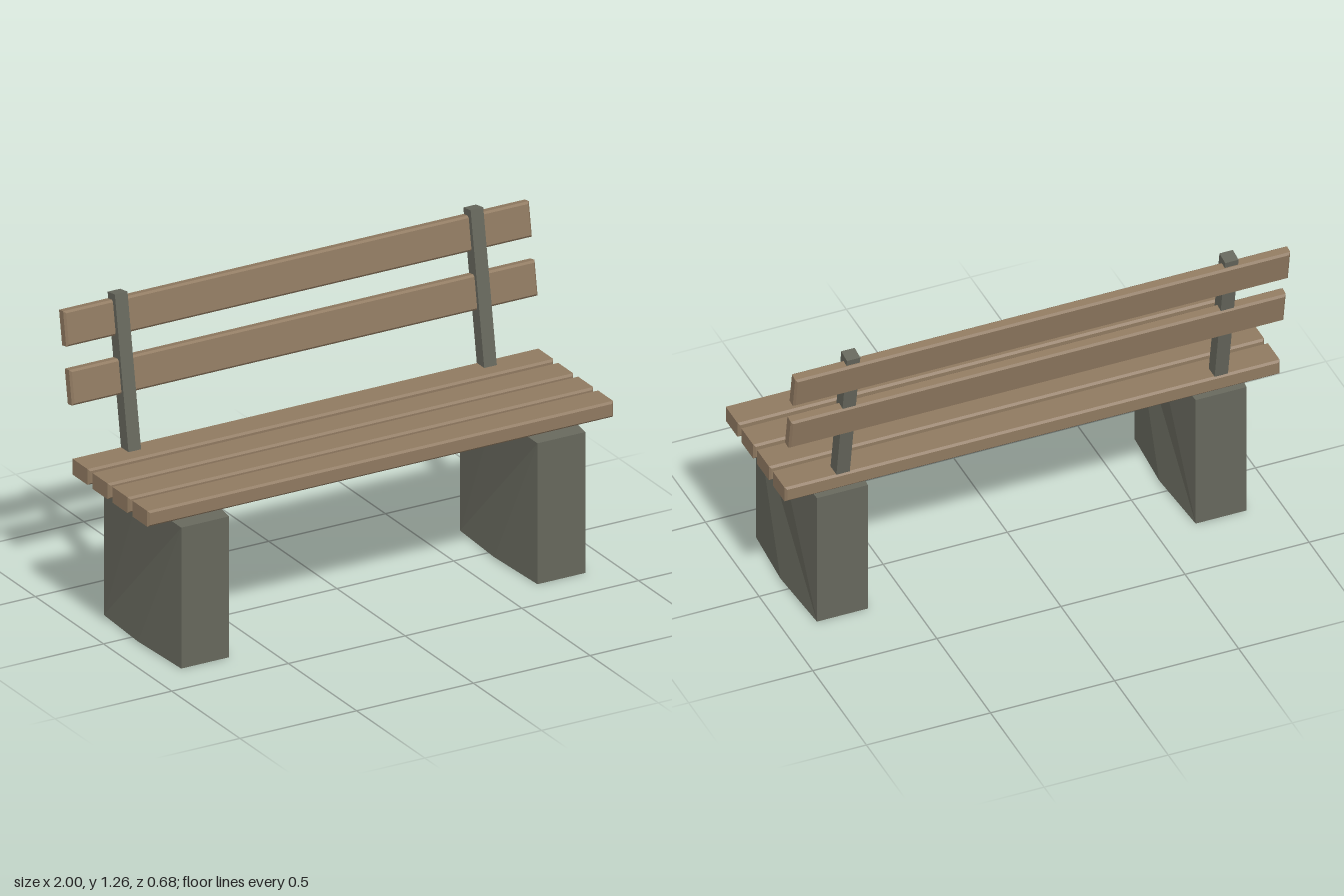
import * as THREE from 'three';

const wood = new THREE.MeshStandardMaterial({ color: 0x8f7960 });
wood.name = 'wood';
const concrete = new THREE.MeshStandardMaterial({ color: 0x66675c });
concrete.name = 'concrete';

// Board with chamfered edges, centred on its own origin
function chamferedBoard(w, h, d, c) {
  const x = w / 2 - c, y = h / 2 - c;
  const shape = new THREE.Shape([
    new THREE.Vector2(-x, -y), new THREE.Vector2(x, -y),
    new THREE.Vector2(x, y), new THREE.Vector2(-x, y),
  ]);
  const g = new THREE.ExtrudeGeometry(shape, {
    depth: d - 2 * c, bevelEnabled: true, bevelSize: c, bevelThickness: c, bevelSegments: 1,
  });
  g.translate(0, 0, c - d / 2);
  return g;
}

// Block leg: peaked side profile, narrowing towards front and back
function legGeometry() {
  const mid = 0.06;
  const profile = [[-0.228, 0], [mid, 0.008], [0.34, 0], [0.34, 0.57], [mid, 0.589], [-0.228, 0.57]];
  const g = new THREE.ExtrudeGeometry(
    new THREE.Shape(profile.map(([z, y]) => new THREE.Vector2(z, y))),
    { depth: 0.25, bevelEnabled: false });
  g.translate(0, 0, -0.125);
  g.rotateY(-Math.PI / 2);
  const p = g.attributes.position;
  for (let i = 0; i < p.count; i++) {
    if (Math.abs(p.getZ(i) - mid) > 0.1) p.setX(i, p.getX(i) * 0.82);
  }
  g.computeVertexNormals();
  return g;
}

export function createModel() {
  const bench = new THREE.Group();
  bench.name = 'bench';
  const add = (name, geometry, material, x, y, z, tilt = 0) => {
    const mesh = new THREE.Mesh(geometry, material);
    mesh.name = name;
    mesh.position.set(x, y, z);
    mesh.rotation.x = tilt;
    bench.add(mesh);
  };
  const lean = -0.165;

  // Seat slats
  const seatGeo = chamferedBoard(1.995, 0.064, 0.125, 0.008);
  [0.262, 0.116, -0.03, -0.176].forEach((z, i) =>
    add(`seatSlat${i + 1}`, seatGeo, wood, 0, i === 3 ? 0.628 : 0.626, z));

  // Back slats, let into the leaning posts
  const backGeo = chamferedBoard(1.995, 0.137, 0.046, 0.008);
  add('lowerBackSlat', backGeo, wood, 0, 0.938, -0.262, lean);
  add('upperBackSlat', backGeo, wood, 0, 1.16, -0.304, lean);

  // Legs and back posts on each side
  const legGeo = legGeometry();
  const postGeo = new THREE.BoxGeometry(0.054, 0.672, 0.054);
  for (const [side, s] of [['left', 1], ['right', -1]]) {
    add(`${side}Leg`, legGeo, concrete, s * 0.763, 0, 0);
    add(`${side}BackPost`, postGeo, concrete, s * 0.762, 0.924, -0.249, lean);
  }
  return bench;
}
